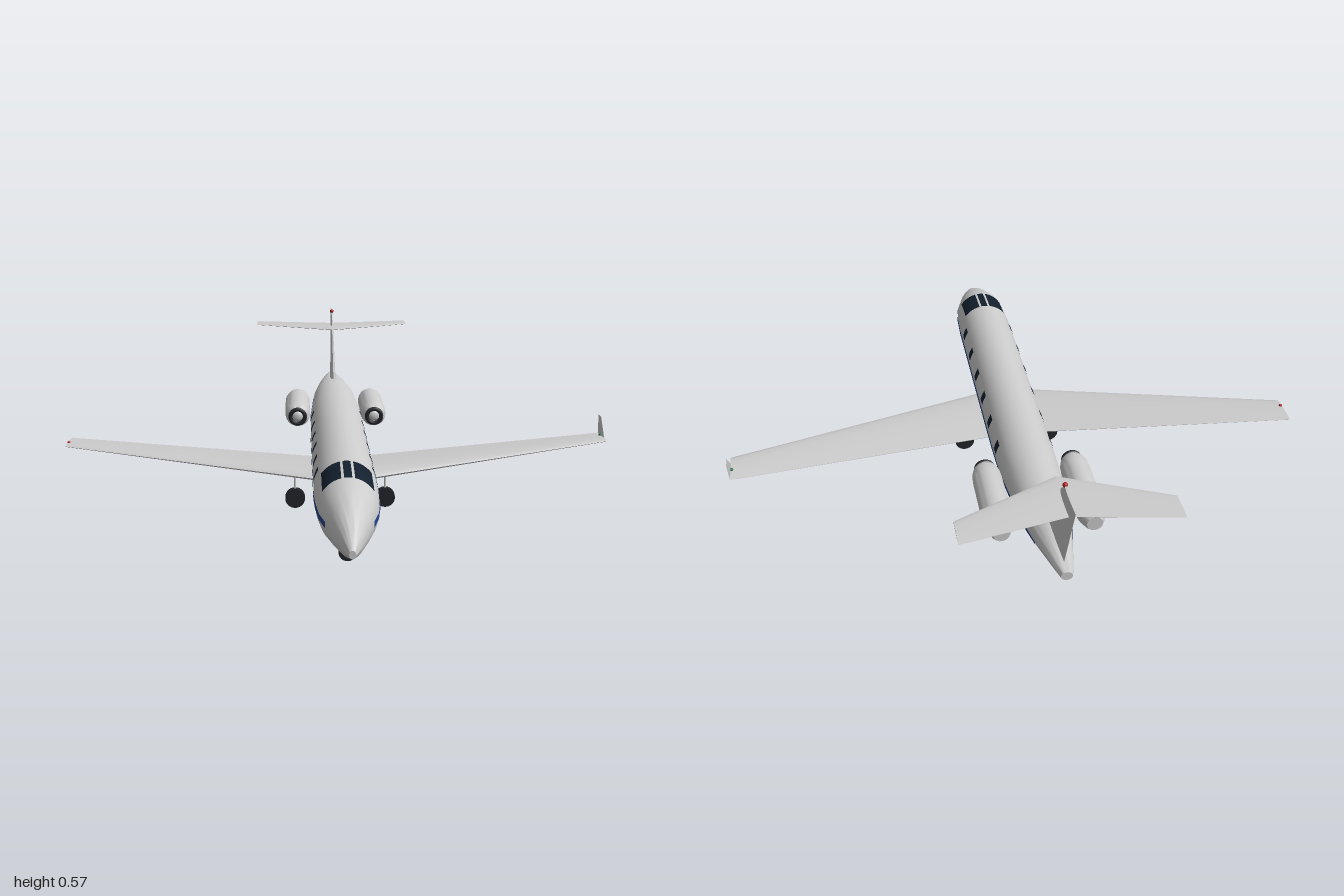
import * as THREE from 'three';
import { toCreasedNormals } from 'three/addons/utils/BufferGeometryUtils.js';

const mat = (color, side = THREE.FrontSide) => new THREE.MeshStandardMaterial({ color, side });
const GREY = mat(0xcccccc);
const GLASS = mat(0x14202e, THREE.DoubleSide);
const BLUE = mat(0x24468a, THREE.DoubleSide);
const TYRE = mat(0x22252a);
const RED = mat(0xb02020);
const GREEN = mat(0x1f6b3a);

// Closed loft through rings of [x, y, z] points, with end caps facing outward
function loft(rings, crease = 0.6) {
  const n = rings[0].length, pos = rings.flat(2), idx = [];
  const last = (rings.length - 1) * n;
  for (let r = 0; r < rings.length - 1; r++) {
    for (let i = 0; i < n; i++) {
      const j = (i + 1) % n, a = r * n, b = a + n;
      idx.push(a + i, a + j, b + j, a + i, b + j, b + i);
    }
  }
  for (let i = 1; i < n - 1; i++) {
    idx.push(0, i + 1, i, last, last + i, last + i + 1);
  }
  // Turn the faces round if the enclosed volume is negative
  const p = (k) => new THREE.Vector3().fromArray(pos, k * 3);
  let volume = 0;
  for (let t = 0; t < idx.length; t += 3) {
    volume += p(idx[t]).dot(p(idx[t + 1]).cross(p(idx[t + 2])));
  }
  if (volume < 0) idx.reverse();
  const g = new THREE.BufferGeometry();
  g.setAttribute('position', new THREE.Float32BufferAttribute(pos, 3));
  g.setIndex(idx);
  return toCreasedNormals(g, crease);
}

// Aerofoil outline: chord fraction, half-thickness fraction
const FOIL = [[0, 0], [0.03, 0.45], [0.12, 0.8], [0.33, 1], [0.65, 0.65], [1, 0.06],
  [1, -0.06], [0.65, -0.65], [0.33, -1], [0.12, -0.8], [0.03, -0.45]];

// Flying surface from sections { x, y, front, back, t }; thickness runs along axis 0 (x) or 1 (y)
function aerofoil(sections, axis) {
  return loft(sections.map(({ x, y, front, back, t }) => FOIL.map(([c, h]) => {
    const v = [x, y, front + (back - front) * c];
    v[axis] += h * t / 2;
    return v;
  })));
}

// Fuselage stations: z, top, bottom, half width
const STATIONS = [
  [1, 0.175, 0.15, 0.01], [0.93, 0.217, 0.126, 0.036], [0.85, 0.26, 0.111, 0.064],
  [0.77, 0.289, 0.1, 0.087], [0.7, 0.304, 0.095, 0.096], [0.6, 0.313, 0.092, 0.1],
  [0.3, 0.315, 0.09, 0.1], [0, 0.315, 0.09, 0.1], [-0.18, 0.315, 0.1, 0.1],
  [-0.35, 0.315, 0.117, 0.098], [-0.6, 0.312, 0.16, 0.082], [-0.75, 0.302, 0.205, 0.058],
  [-0.88, 0.289, 0.243, 0.031], [-0.93, 0.284, 0.254, 0.018]];

function stationAt(z) {
  let k = 0;
  while (k < STATIONS.length - 2 && z < STATIONS[k + 1][0]) k++;
  const a = STATIONS[k], b = STATIONS[k + 1], f = (z - a[0]) / (b[0] - a[0]);
  const [top, bottom, rx] = [1, 2, 3].map((i) => a[i] + (b[i] - a[i]) * f);
  return { yc: (top + bottom) / 2, ry: (top - bottom) / 2, rx };
}

// Point on the skin; angle 0 is +x and PI/2 is the top
function skin(z, angle, lift = 0) {
  const { yc, ry, rx } = stationAt(z);
  return [(rx + lift) * Math.cos(angle), yc + (ry + lift) * Math.sin(angle), z];
}
const angleAtY = (z, y) => {
  const s = stationAt(z);
  return Math.asin((y - s.yc) / s.ry);
};
const angleAtX = (z, x) => Math.acos(x / stationAt(z).rx);

// Painted patch lying just over the skin between two angle rules
function patch(zs, from, to, mirror = 1) {
  const n = 6, pos = [], idx = [];
  zs.forEach((z, r) => {
    for (let i = 0; i <= n; i++) {
      const [x, y] = skin(z, from(z) + (to(z) - from(z)) * i / n, 0.002);
      pos.push(x * mirror, y, z);
      if (r && i) {
        const d = r * (n + 1) + i, b = d - n - 1;
        idx.push(b - 1, b, d, b - 1, d, d - 1);
      }
    }
  });
  if (mirror < 0) idx.reverse();
  const g = new THREE.BufferGeometry();
  g.setAttribute('position', new THREE.Float32BufferAttribute(pos, 3));
  g.setIndex(idx);
  g.computeVertexNormals();
  return g;
}

export function createModel() {
  const model = new THREE.Group();
  model.name = 'businessJet';
  const add = (name, geometry, material, x = 0, y = 0, z = 0) => {
    const m = new THREE.Mesh(geometry, material);
    m.name = name;
    m.position.set(x, y, z);
    model.add(m);
    return m;
  };

  // Fuselage
  add('fuselage', loft(STATIONS.map(([z]) =>
    Array.from({ length: 40 }, (_, i) => skin(z, i / 40 * Math.PI * 2)))), GREY);

  // Windscreen panes
  const paneZ = [0.725, 0.7, 0.65, 0.597];
  for (const [name, x0, x1] of [['leftWindscreen', 0.076, 0.02],
    ['centreWindscreen', 0.012, -0.012], ['rightWindscreen', -0.02, -0.076]]) {
    add(name, patch(paneZ, (z) => angleAtX(z, x0), (z) => angleAtX(z, x1)), GLASS);
  }

  // Cheat line height along the body
  const stripeY = (z) => z > 0.7 ? 0.203 - (z - 0.7) * 0.1 : z < -0.3 ? 0.204 + (-0.3 - z) * 0.085 : 0.204;
  const stripeZ = [0.83, 0.77, 0.7, 0.6, 0.3, 0, -0.18, -0.3, -0.35, -0.6, -0.75];

  for (const s of [1, -1]) {
    const side = s > 0 ? 'left' : 'right';

    add(side + 'Stripe', patch(stripeZ, (z) => angleAtY(z, stripeY(z) - 0.009),
      (z) => angleAtY(z, stripeY(z) + 0.009), s), BLUE);

    // Cabin windows
    for (let i = 0; i < 6; i++) {
      const z = 0.505 - i * 0.151;
      add(side + 'CabinWindow' + (i + 1), patch([z + 0.018, z, z - 0.018],
        (q) => angleAtY(q, 0.228), (q) => angleAtY(q, 0.264), s), GLASS);
    }

    // Swept wing with dihedral
    add(side + 'Wing', aerofoil([
      { x: s * 0.04, y: 0.142, front: 0.245, back: -0.045, t: 0.034 },
      { x: s * 0.995, y: 0.186, front: -0.07, back: -0.195, t: 0.01 }], 1), GREY);

    // Tailplane half
    add(side + 'Tailplane', aerofoil([
      { x: 0, y: 0.498, front: -0.75, back: -0.935, t: 0.012 },
      { x: s * 0.322, y: 0.498, front: -0.897, back: -0.995, t: 0.005 }], 1), GREY);

    // Engine nacelle, intake lip and spinner
    const profile = [[0, -0.672], [0.026, -0.672], [0.033, -0.66], [0.046, -0.625], [0.049, -0.6],
      [0.049, -0.4], [0.047, -0.37], [0.04, -0.348], [0.034, -0.34], [0, -0.34]];
    const nacelle = new THREE.LatheGeometry(profile.map(([r, z]) => new THREE.Vector2(r, z)), 28);
    nacelle.rotateX(Math.PI / 2);
    add(side + 'Nacelle', toCreasedNormals(nacelle, 0.7), GREY, s * 0.149, 0.226);
    add(side + 'IntakeLip', new THREE.TorusGeometry(0.028, 0.008, 10, 28), TYRE, s * 0.149, 0.226, -0.334);
    add(side + 'Spinner', new THREE.SphereGeometry(0.02, 20, 12).scale(1, 1, 0.5), GREY,
      s * 0.149, 0.226, -0.338);

    // Main landing gear
    add(side + 'MainWheel', new THREE.CylinderGeometry(0.035, 0.035, 0.024, 24).rotateX(Math.PI / 2),
      TYRE, s * 0.16, 0.035, 0.095);
    add(side + 'MainStrut', new THREE.CylinderGeometry(0.004, 0.004, 0.08, 10), GREY,
      s * 0.16, 0.102, 0.095);

    // Wing tip light
    add(side + 'WingLight', new THREE.SphereGeometry(0.006, 12, 8), s > 0 ? GREEN : RED,
      s * 0.99, 0.191, s > 0 ? -0.145 : -0.11);
  }

  // Winglet on the left tip only
  add('winglet', aerofoil([
    { x: 0.995, y: 0.184, front: -0.1, back: -0.19, t: 0.006 },
    { x: 0.997, y: 0.256, front: -0.168, back: -0.205, t: 0.003 }], 0), GREY);

  // Fin and beacon
  add('fin', aerofoil([
    { x: 0, y: 0.27, front: -0.6, back: -0.88, t: 0.024 },
    { x: 0, y: 0.56, front: -0.867, back: -0.998, t: 0.008 }], 0), GREY);
  add('beacon', new THREE.SphereGeometry(0.008, 12, 8), RED, 0, 0.56, -0.868);

  // Nose landing gear
  add('noseWheel', new THREE.CylinderGeometry(0.028, 0.028, 0.026, 24).rotateX(Math.PI / 2),
    TYRE, 0, 0.057, 0.69);
  add('noseStrut', new THREE.CylinderGeometry(0.004, 0.004, 0.04, 10), GREY, 0, 0.095, 0.69);

  return model;
}
